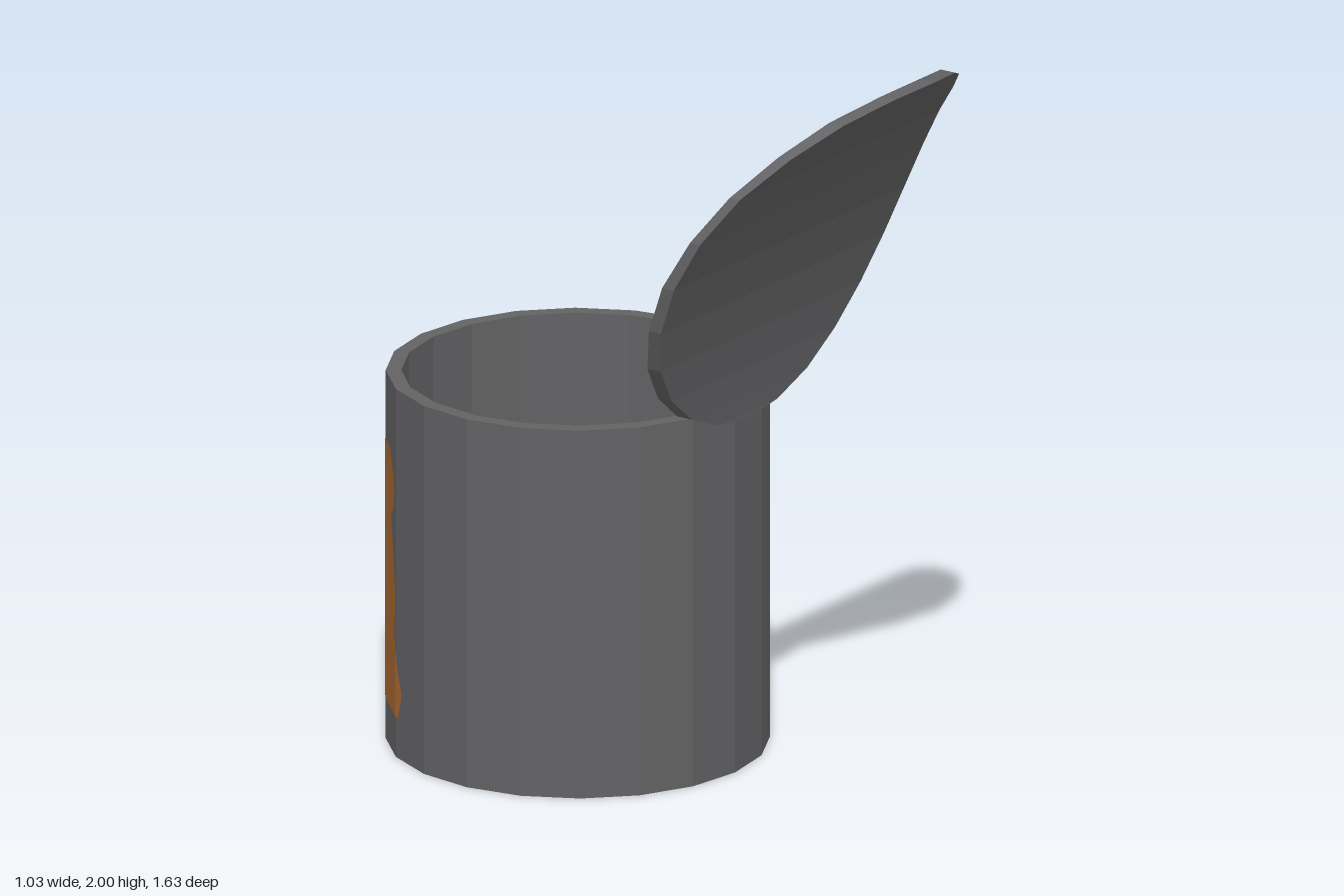
import * as THREE from 'three';

const SIDES = 20, RADIUS = 0.495, CENTER_Z = -0.315, STEP = 360 / SIDES;
const rad = THREE.MathUtils.degToRad;

const makeMaterial = (name, color) => {
  const m = new THREE.MeshStandardMaterial({ color });
  m.name = name;
  return m;
};

// Give every face its own normal
function faceted(geometry) {
  const g = geometry.index ? geometry.toNonIndexed() : geometry;
  g.computeVertexNormals();
  return g;
}

// Part of a polygon on one side of the vertical line u = limit
function clip(points, limit, sign) {
  const out = [];
  points.forEach((p, i) => {
    const q = points[(i + 1) % points.length];
    const dp = (p[0] - limit) * sign, dq = (q[0] - limit) * sign;
    if (dp >= 0) out.push(p);
    if (dp * dq < 0) {
      const t = dp / (dp - dq);
      out.push([limit, p[1] + (q[1] - p[1]) * t]);
    }
  });
  return out;
}

// Stain outline [degrees from the back, height], wrapped over the flat panels
function makeStain(name, outline, lift, material) {
  const group = new THREE.Group();
  group.name = name;
  const r = RADIUS + lift;
  for (let a = -4 * STEP; a < 4 * STEP; a += STEP) {
    const piece = clip(clip(outline, a, 1), a + STEP, -1);
    if (piece.length < 3) continue;
    const g = new THREE.ShapeGeometry(new THREE.Shape(piece.map(p => new THREE.Vector2(p[0], p[1]))));
    const pos = g.attributes.position;
    for (let i = 0; i < pos.count; i++) {
      const t = (pos.getX(i) - a) / STEP, b = a + STEP;
      const x = -r * THREE.MathUtils.lerp(Math.sin(rad(a)), Math.sin(rad(b)), t);
      const z = -r * THREE.MathUtils.lerp(Math.cos(rad(a)), Math.cos(rad(b)), t);
      pos.setXYZ(i, x, pos.getY(i), z + CENTER_Z);
    }
    const mesh = new THREE.Mesh(faceted(g), material);
    mesh.name = name + 'Panel';
    group.add(mesh);
  }
  return group;
}

// Round lid bent forward: a front and back depth for each row of a 24-gon
function makeLid(material) {
  const front = [0.219, 0.22, 0.226, 0.238, 0.261, 0.298, 0.351, 0.422, 0.51, 0.612, 0.705, 0.78, 0.813];
  const back = [0.171, 0.173, 0.18, 0.194, 0.219, 0.26, 0.314, 0.39, 0.478, 0.574, 0.66, 0.735, 0.77];
  const positions = [], index = [];
  for (let k = 0; k <= 12; k++) {
    const x = 0.515 * Math.sin(rad(15 * k)), y = 1.485 - 0.515 * Math.cos(rad(15 * k));
    positions.push(-x, y, front[k], x, y, front[k], x, y, back[k], -x, y, back[k]);
    if (k === 12) break;
    for (let j = 0; j < 4; j++) {
      const a = 4 * k + j, b = 4 * k + (j + 1) % 4;
      index.push(a, b, b + 4, a, b + 4, a + 4);
    }
  }
  const g = new THREE.BufferGeometry();
  g.setAttribute('position', new THREE.Float32BufferAttribute(positions, 3));
  g.setIndex(index);
  const mesh = new THREE.Mesh(faceted(g), material);
  mesh.name = 'lid';
  return mesh;
}

export function createModel() {
  const metal = makeMaterial('grey metal', 0x626264);
  const rust = makeMaterial('rust orange', 0xa8672f);
  const darkRust = makeMaterial('dark rust red', 0x7e3020);
  const model = new THREE.Group();
  model.name = 'openCan';

  // Hollow body with rim and floor
  const profile = [[0, 0], [RADIUS, 0], [RADIUS, 1], [0.455, 1], [0.455, 0.04], [0, 0.04]]
    .map(p => new THREE.Vector2(p[0], p[1]));
  const body = new THREE.Mesh(faceted(new THREE.LatheGeometry(profile, SIDES)), metal);
  body.name = 'canBody';
  body.position.z = CENTER_Z;
  model.add(body, makeLid(metal));

  // Worn label remains with a darker spot on the back
  const label = [
    [-44, 0.82], [-49, 0.805], [-50, 0.78], [-48, 0.68], [-49.5, 0.546], [-52, 0.5], [-53.9, 0.44],
    [-52, 0.33], [-52, 0.2], [-49, 0.16], [-46, 0.135], [-36, 0.13], [-18, 0.14], [0, 0.15], [20, 0.15],
    [32, 0.125], [41, 0.113], [56, 0.11], [58, 0.18], [55, 0.25], [53, 0.34], [54, 0.45], [50, 0.57],
    [47, 0.636], [51, 0.67], [52.5, 0.71], [51, 0.76], [45, 0.815], [25, 0.82], [0, 0.82], [-20, 0.825]];
  const spot = [
    [-21, 0.585], [-17, 0.615], [-12, 0.625], [-6, 0.59], [10, 0.615], [19, 0.57], [21, 0.535],
    [16, 0.47], [9, 0.405], [3, 0.39], [-6, 0.425], [-13, 0.465], [-20, 0.49]];
  model.add(makeStain('rustPatch', label, 0.002, rust), makeStain('darkSpot', spot, 0.004, darkRust));
  return model;
}
